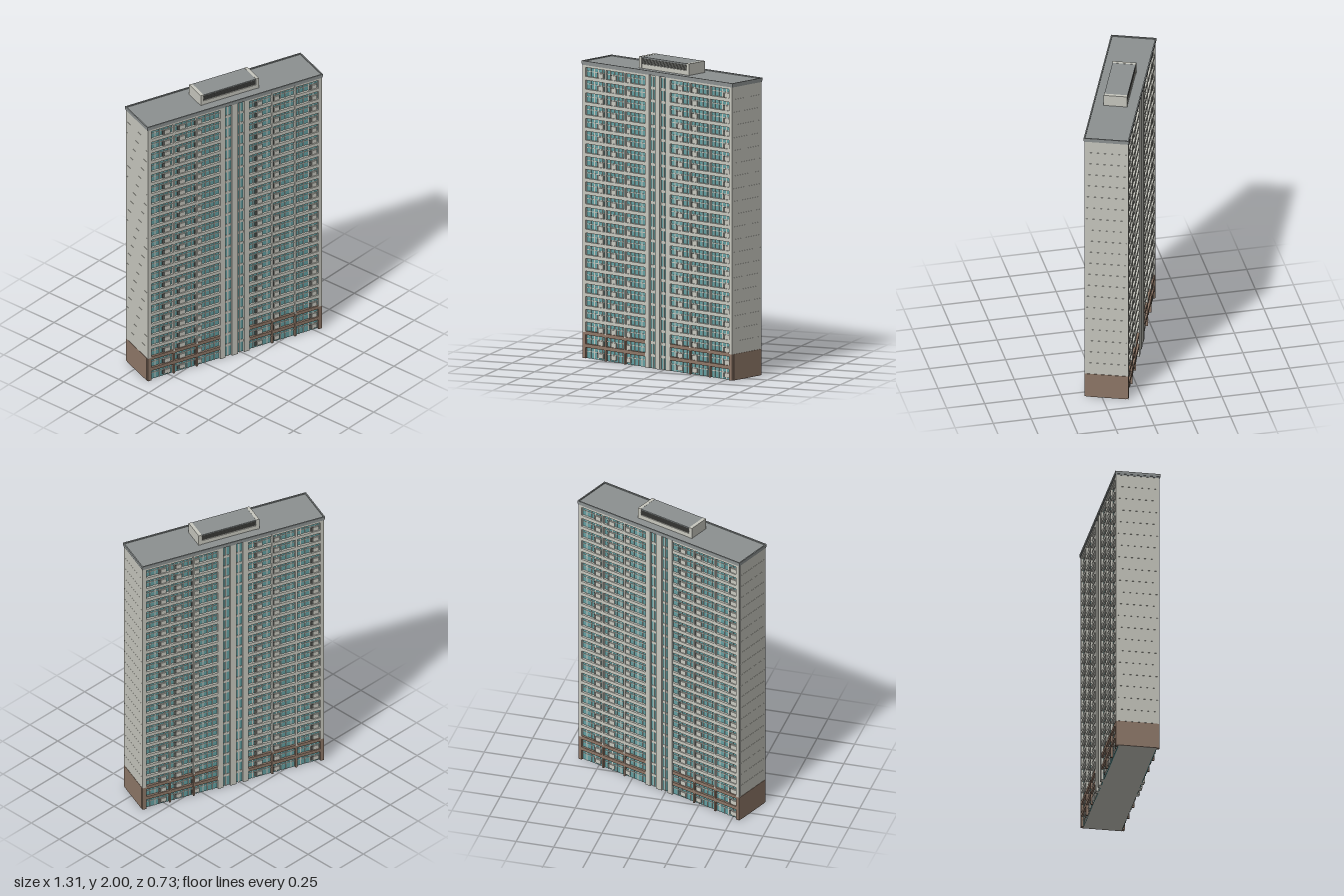
import * as THREE from 'three';
import { mergeGeometries } from 'three/addons/utils/BufferGeometryUtils.js';

const FLOORS = 23, PITCH = 0.0827, TOP = 1.905;
const HALF_L = 0.64, HALF_D = 0.142, RECESS = 0.018;
const BACK = HALF_D - RECESS; // plane of the glazing
const BASE_H = 0.17; // height of the brown plinth storeys

const mat = (name, color) => {
  const m = new THREE.MeshStandardMaterial({ color });
  m.name = name;
  return m;
};

// box from its extents
function box(x0, x1, y0, y1, z0, z1) {
  return new THREE.BoxGeometry(x1 - x0, y1 - y0, z1 - z0)
    .translate((x0 + x1) / 2, (y0 + y1) / 2, (z0 + z1) / 2);
}

export function createModel() {
  const wall = mat('wall', 0xc8c8bf), glass = mat('glass', 0x64a0a2);
  const brown = mat('plinthBrown', 0x8f7868), roofGrey = mat('roofGrey', 0x8c9191);
  const dark = mat('darkGrey', 0x5c5d59);

  const model = new THREE.Group();
  model.name = 'apartmentBlock';
  const building = new THREE.Group();
  building.name = 'building';
  building.rotation.y = -0.358;
  model.add(building);

  const add = (parent, name, geos, material) => {
    const mesh = new THREE.Mesh(mergeGeometries([].concat(geos)), material);
    mesh.name = name;
    parent.add(mesh);
  };

  // one long facade facing +z
  function facade() {
    const g = new THREE.Group();
    g.name = 'facade';
    const panes = [], piers = [], basePiers = [], bands = [], baseBands = [];
    const mullions = [], transoms = [], panels = [], niches = [];
    const pier = (x, w) => {
      basePiers.push(box(x - w / 2, x + w / 2, 0, BASE_H, BACK, HALF_D));
      piers.push(box(x - w / 2, x + w / 2, BASE_H, TOP, BACK, HALF_D));
    };
    const panelX = { '-1': [-0.49, -0.38, -0.256], 1: [0.188, 0.312, 0.588] };

    for (const s of [-1, 1]) {
      const a = s < 0 ? -0.615 : 0.107, b = a + 0.508;
      panes.push(box(a, b, 0, TOP, BACK - 0.004, BACK + 0.002));
      // corner pier and the two piers dividing the wing into bays
      pier(s * 0.6275, 0.025);
      pier(s * 0.277, 0.012);
      pier(s * 0.446, 0.012);
      // slim mullions
      for (let bay = 0; bay < 3; bay++)
        for (const t of [0.2, 0.4, 0.6, 0.8]) {
          const x = a + (bay + t) * 0.1693;
          mullions.push(box(x - 0.0025, x + 0.0025, 0, TOP, BACK, BACK + 0.006));
        }
      for (let f = 0; f < FLOORS; f++) {
        const y = f * PITCH;
        // floor band above each storey, transom rail and low solid panels
        (f < 2 ? baseBands : bands).push(box(a, b, y + PITCH - 0.012, y + PITCH + 0.012, BACK, HALF_D - 0.001));
        transoms.push(box(a, b, y + 0.043, y + 0.048, BACK, BACK + 0.005));
        for (const x of panelX[s]) {
          panels.push(box(x - 0.018, x + 0.02, y + 0.012, y + 0.042, BACK, BACK + 0.01));
          niches.push(box(x - 0.036, x - 0.018, y + 0.012, y + 0.042, BACK, BACK + 0.007));
        }
      }
      // stair-core window strip
      const c = s * 0.045;
      panes.push(box(c - 0.024, c + 0.024, 0, TOP, BACK - 0.004, BACK + 0.002));
      mullions.push(box(c - 0.006, c + 0.002, 0, TOP, BACK, BACK + 0.008));
      for (let f = 0; f < FLOORS; f++)
        transoms.push(box(c - 0.024, c + 0.024, (f + 1) * PITCH - 0.009, (f + 1) * PITCH + 0.009, BACK, BACK + 0.005));
      // core side walls
      piers.push(box(Math.min(s * 0.069, s * 0.107), Math.max(s * 0.069, s * 0.107), 0, TOP, BACK, HALF_D));
    }
    piers.push(box(-0.021, 0.021, 0, TOP, BACK, HALF_D));

    add(g, 'windowPanes', panes, glass);
    add(g, 'piers', piers, wall);
    add(g, 'plinthPiers', basePiers, brown);
    add(g, 'floorBands', bands, wall);
    add(g, 'plinthBands', baseBands, brown);
    add(g, 'mullions', mullions, wall);
    add(g, 'transoms', transoms, wall);
    add(g, 'balconyPanels', panels, wall);
    add(g, 'balconyNiches', niches, dark);
    return g;
  }

  // solid core of the block
  add(building, 'body', box(-HALF_L + 0.001, HALF_L - 0.001, 0, TOP, -BACK, BACK), wall);

  // both long sides and both gable ends are alike under a half turn
  for (const turn of [0, Math.PI]) {
    const side = new THREE.Group();
    side.name = turn ? 'backHalf' : 'frontHalf';
    side.rotation.y = turn;
    side.add(facade());
    // gable cladding, storey by storey, above a brown base panel
    const cladding = [];
    for (let f = 2; f < FLOORS; f++)
      for (const [z0, z1] of [[-0.13, 0.0345], [0.0355, 0.13]])
        cladding.push(box(HALF_L - 0.002, HALF_L + 0.001, f * PITCH + 0.006, (f + 1) * PITCH + 0.005, z0, z1));
    add(side, 'gableCladding', cladding, wall);
    add(side, 'gablePlinth', box(HALF_L - 0.002, HALF_L + 0.002, 0, BASE_H, -0.128, 0.128), brown);
    building.add(side);
  }

  // roof slab with a low rim
  add(building, 'roofSlab', box(-0.643, 0.643, TOP, 1.925, -0.144, 0.144), roofGrey);
  const rim = [];
  for (const s of [-1, 1]) {
    rim.push(box(-0.646, 0.646, 1.913, 1.932, s * 0.1425 - 0.004, s * 0.1425 + 0.004));
    rim.push(box(s * 0.642 - 0.004, s * 0.642 + 0.004, 1.913, 1.932, -0.1385, 0.1385));
  }
  add(building, 'roofRim', rim, roofGrey);

  // rooftop plant room: end walls, grey lid and louvred long sides
  const ends = [], slats = [], sills = [], grilles = [];
  for (const s of [-1, 1]) {
    ends.push(box(s * 0.203 - 0.011, s * 0.203 + 0.011, 1.92, 2, -0.076, 0.076));
    sills.push(box(-0.192, 0.192, 1.92, 1.953, s * 0.07 - 0.004, s * 0.07 + 0.004));
    grilles.push(box(-0.192, 0.192, 1.953, 1.992, s * 0.066 - 0.002, s * 0.066 + 0.002));
    for (let i = 0; i < 4; i++)
      slats.push(box(-0.192, 0.192, 1.957 + i * 0.009, 1.96 + i * 0.009, s * 0.07 - 0.003, s * 0.07 + 0.003));
  }
  add(building, 'plantRoomEnds', ends, wall);
  add(building, 'plantRoomSills', sills, wall);
  add(building, 'plantRoomGrilles', grilles, dark);
  add(building, 'plantRoomSlats', slats, dark);
  add(building, 'plantRoomLid', box(-0.192, 0.192, 1.991, 1.999, -0.075, 0.075), roofGrey);

  return model;
}
